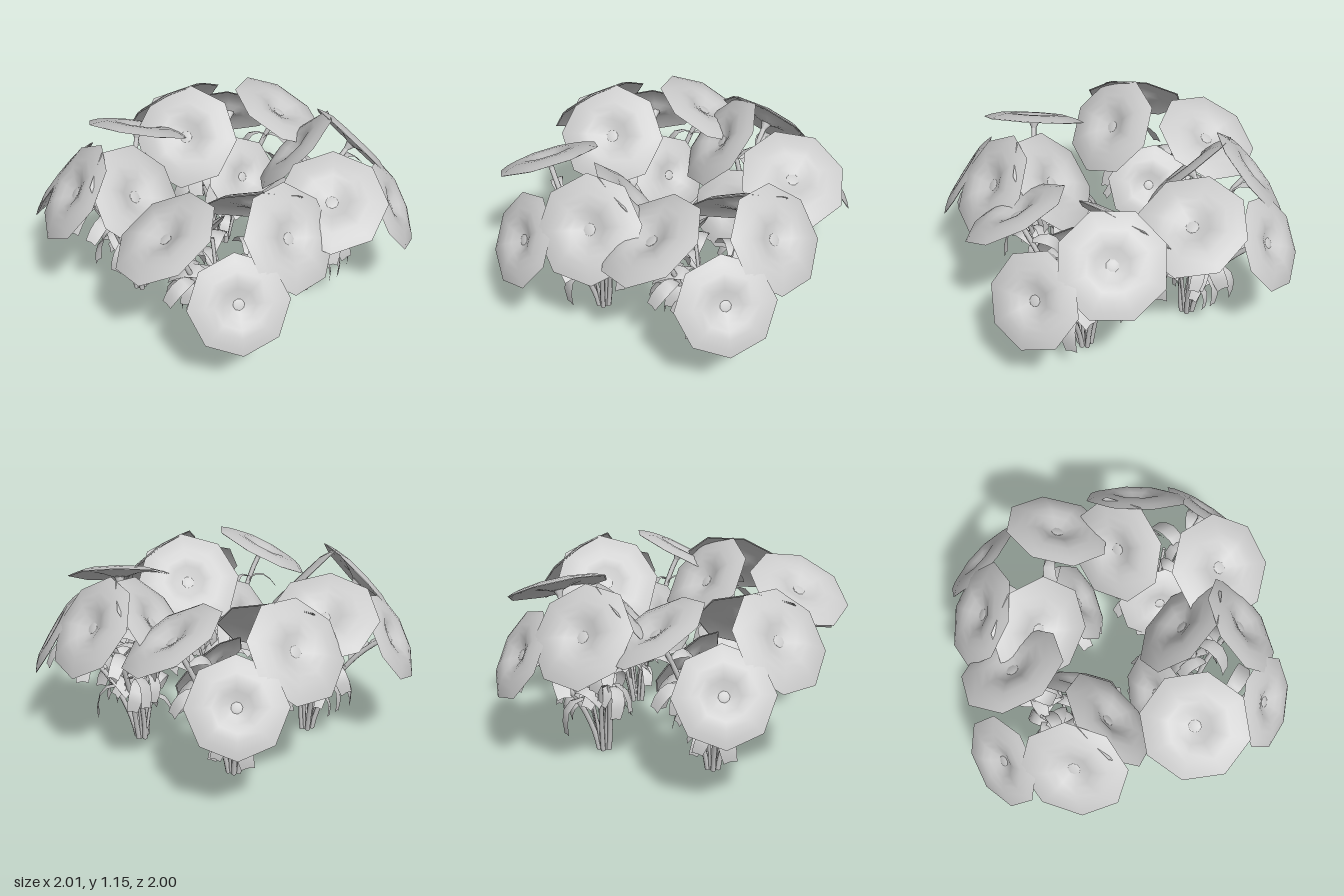
import * as THREE from 'three';

const material = new THREE.MeshStandardMaterial({ color: 0xcccccc, side: THREE.DoubleSide });
const rad = THREE.MathUtils.degToRad;
const UP = new THREE.Vector3(0, 1, 0);

// Blooms of one plant: azimuth, distance from the middle, height,
// turn of the face away from that azimuth, outward tilt, disc radius
const blooms = [
  { az: 0, reach: 0.43, y: 0.945, turn: 18, tilt: 51, r: 0.32 },
  { az: 122, reach: 0.4, y: 0.995, turn: 18, tilt: 29, r: 0.325 },
  { az: 55, reach: 0.525, y: 0.74, turn: 0, tilt: 59, r: 0.29 },
  { az: -67, reach: 0.265, y: 0.935, turn: -50, tilt: 49, r: 0.325 },
  { az: 190, reach: 0.225, y: 0.66, turn: 0, tilt: 58, r: 0.26 },
];

// Four turned copies: x, z, azimuth
const plants = [
  [0.35, 0.335, -21],
  [0.365, -0.385, -92],
  [-0.345, -0.335, 174],
  [-0.37, 0.375, 102],
];

function polar(azimuth, radius, y) {
  return new THREE.Vector3(Math.cos(azimuth) * radius, y, Math.sin(azimuth) * radius);
}

// Eight-sided shallow dish of unit radius, dimpled in the middle
function lathe(points, sides) {
  return new THREE.LatheGeometry(points.map(([r, y]) => new THREE.Vector2(r, y)), sides);
}
const petalGeometry = lathe([[1, -0.1], [0.85, -0.04], [0.65, 0.01], [0.48, 0.01],
  [0.32, -0.04], [0.16, -0.12], [0, -0.15]], 8);
const underGeometry = lathe([[0.98, -0.11], [0.8, -0.07], [0.5, -0.04], [0.3, -0.08], [0, -0.18]], 8);
const heartGeometry = new THREE.SphereGeometry(0.13, 8, 4, 0, Math.PI * 2, 0, Math.PI / 2);
heartGeometry.scale(1, 0.2, 1);
const calyxGeometry = new THREE.CylinderGeometry(0.036, 0.014, 0.05, 8);

// Strap leaf arching out along +x and drooping, from [distance, height, half width]
function makeLeafGeometry() {
  const rows = [[0, 0, 0.012], [0.05, 0.035, 0.032], [0.1, 0.04, 0.042],
    [0.15, 0.01, 0.045], [0.18, -0.045, 0.043], [0.195, -0.11, 0.035]];
  const geometry = new THREE.PlaneGeometry(1, 1, 2, rows.length - 1);
  const position = geometry.attributes.position;
  rows.forEach(([x, y, half], row) => {
    for (let column = 0; column < 3; column++) {
      const fold = column === 1 ? 0.008 : 0;
      position.setXYZ(row * 3 + column, x, y + fold, (column - 1) * half);
    }
  });
  geometry.computeVertexNormals();
  return geometry;
}
const leafGeometry = makeLeafGeometry();

function addMesh(parent, name, geometry) {
  const mesh = new THREE.Mesh(geometry, material);
  mesh.name = name;
  parent.add(mesh);
  return mesh;
}

function makeBloom(r, centre, normal, spin) {
  const bloom = new THREE.Group();
  bloom.name = 'bloom';
  bloom.position.copy(centre);
  bloom.quaternion.setFromUnitVectors(UP, normal);

  const petals = addMesh(bloom, 'petalDish', petalGeometry);
  petals.scale.setScalar(r);
  petals.rotation.y = spin;
  const under = addMesh(bloom, 'underPetals', underGeometry);
  under.scale.setScalar(r);
  under.rotation.y = spin;
  const heart = addMesh(bloom, 'flowerHeart', heartGeometry);
  heart.scale.setScalar(r);
  heart.position.y = -0.14 * r;
  addMesh(bloom, 'calyx', calyxGeometry).position.y = -0.065;
  return bloom;
}

function makePlant() {
  const plant = new THREE.Group();
  plant.name = 'plant';
  let leafCount = 0;

  blooms.forEach((spec, index) => {
    const az = rad(spec.az);
    const tilt = rad(spec.tilt);
    const normal = polar(az + rad(spec.turn), Math.sin(tilt), Math.cos(tilt));
    const centre = polar(az, spec.reach, spec.y);
    plant.add(makeBloom(spec.r, centre, normal, index * 0.7));

    // Stem rising from the bunch and bending to meet its bloom
    const tip = centre.clone().addScaledVector(normal, -0.075);
    const curve = new THREE.CubicBezierCurve3(
      polar(az, 0.035, 0.01),
      polar(az, 0.08, 0.3),
      tip.clone().addScaledVector(normal, -0.22),
      tip,
    );
    addMesh(plant, 'stem', new THREE.TubeGeometry(curve, 12, 0.016, 7));
    // Thin side shoot beside the stem
    const shoot = new THREE.QuadraticBezierCurve3(
      polar(az + 0.7, 0.025, 0.01),
      polar(az + 0.6, 0.06, 0.35),
      polar(az + 0.6, 0.18, 0.66),
    );
    addMesh(plant, 'sideShoot', new THREE.TubeGeometry(shoot, 8, 0.011, 6));

    // Leaves spiralling up the stem and shoot, the lowest ones small and close
    for (let i = 0; i < 9; i++) {
      const path = i % 3 === 2 ? shoot : curve;
      const leaf = addMesh(plant, 'leaf', leafGeometry);
      leaf.position.copy(path.getPoint(i === 0 ? 0.3 : 0.42 + i * 0.055));
      leafCount++;
      leaf.rotation.order = 'YXZ';
      leaf.rotation.set(
        0.35 * Math.sin(leafCount * 2.3),
        -(az + leafCount * rad(137.5)),
        0.1 + 0.4 * Math.sin(leafCount * 1.7),
      );
      leaf.scale.setScalar(i === 0 ? 0.75 : 0.85 + 0.1 * (leafCount % 4));
    }
  });
  return plant;
}

export function createModel() {
  const model = new THREE.Group();
  model.name = 'flowerBed';
  const plant = makePlant();
  for (const [x, z, azimuth] of plants) {
    const copy = plant.clone();
    copy.position.set(x, 0, z);
    copy.rotation.y = -rad(azimuth);
    model.add(copy);
  }
  return model;
}
